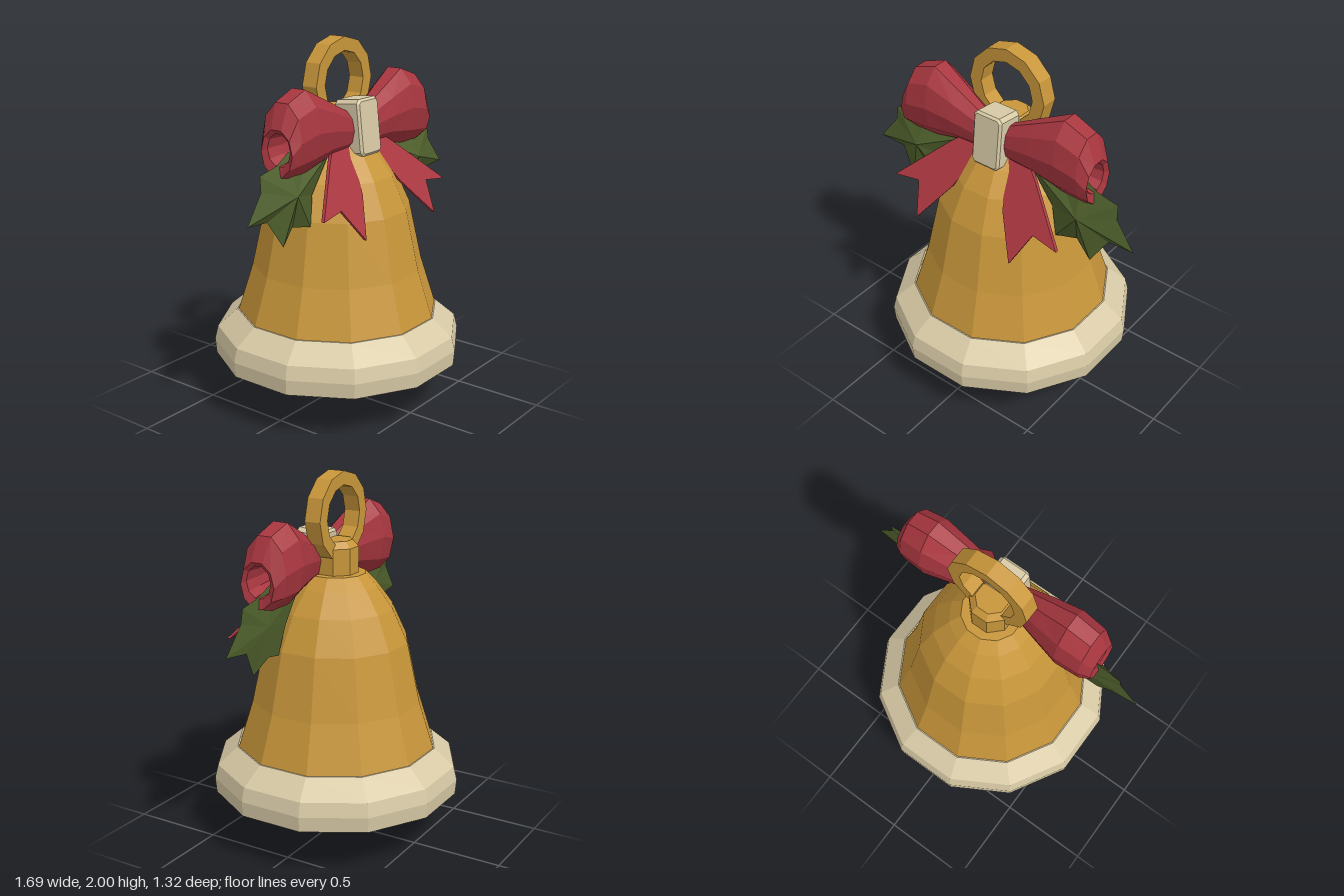
import * as THREE from 'three';

const mat = (name, color) => {
  const m = new THREE.MeshStandardMaterial({ color });
  m.name = name;
  return m;
};

// Unshared vertices give every face its own flat normal
function facet(geo) {
  const g = geo.index ? geo.toNonIndexed() : geo;
  g.computeVertexNormals();
  return g;
}

// Mirror across x = 0 and restore the corner order
function mirrorX(geo) {
  const g = geo.clone();
  const p = g.attributes.position;
  const v = [0, 1, 2].map(() => new THREE.Vector3());
  for (let i = 0; i < p.count; i += 3) {
    v.forEach((w, k) => w.fromBufferAttribute(p, i + k));
    [v[0], v[2], v[1]].forEach((w, k) => p.setXYZ(i + k, -w.x, w.y, w.z));
  }
  g.computeVertexNormals();
  return g;
}

function fromTriangles(tris) {
  const g = new THREE.BufferGeometry();
  g.setAttribute('position', new THREE.Float32BufferAttribute(tris.flat(2), 3));
  return facet(g);
}

// Lathe with flats facing front and sides; radii are measured to the flats
function flatLathe(points, sides) {
  const k = 1 / Math.cos(Math.PI / sides);
  const pts = points.map(([r, y]) => new THREE.Vector2(r * k, y));
  return facet(new THREE.LatheGeometry(pts, sides, Math.PI / sides));
}

// Skin over elliptical rings [x, centreY, radiusY, centreZ, radiusZ]
function loft(rings, sides) {
  const at = (i, j) => {
    const [x, cy, ry, cz, rz] = rings[i];
    const a = (j / sides) * Math.PI * 2;
    return [x, cy + ry * Math.sin(a), cz + rz * Math.cos(a)];
  };
  const tris = [];
  for (let i = 0; i < rings.length - 1; i++) {
    for (let j = 0; j < sides; j++) {
      const a = at(i, j), b = at(i + 1, j), c = at(i + 1, j + 1), d = at(i, j + 1);
      tris.push([a, b, c], [a, c, d]);
    }
  }
  return fromTriangles(tris);
}

// Spiky leaf: front and back fans around a raised centre
function leafGeometry() {
  const outline = [
    [0.2, 1.43, 0.1], [0.34, 1.24, 0.1], [0.38, 1.08, 0.12], [0.5, 1.105, 0.1],
    [0.6, 1.03, 0.125], [0.69, 1.175, 0.1], [0.843, 1.19, 0.11], [0.73, 1.335, 0.1],
    [0.725, 1.415, 0.09], [0.6, 1.44, 0.09], [0.5, 1.49, 0.08], [0.38, 1.42, 0.09],
  ];
  const front = [0.53, 1.28, 0.165], back = [0.53, 1.28, 0.07];
  const tris = [];
  outline.forEach((p, i) => {
    const q = outline[(i + 1) % outline.length];
    tris.push([front, p, q], [back, q, p]);
  });
  return fromTriangles(tris);
}

// Notched ribbon tail, sheared so it sweeps forward as it falls
function tailGeometry() {
  const pts = [[0.03, 1.5], [0.09, 1.41], [0.17, 1.235], [0.31, 1.05],
    [0.38, 1.2], [0.535, 1.18], [0.28, 1.41], [0.14, 1.52]];
  const shape = new THREE.Shape(pts.map(([x, y]) => new THREE.Vector2(x, y)));
  const g = new THREE.ExtrudeGeometry(shape, { depth: 0.018, bevelEnabled: false });
  const p = g.attributes.position;
  for (let i = 0; i < p.count; i++) p.setZ(i, p.getZ(i) + 0.09 + 0.7 * (1.5 - p.getY(i)));
  return facet(g);
}

export function createModel() {
  const model = new THREE.Group();
  model.name = 'bell';
  const gold = mat('gold', 0xc8963a);
  const cream = mat('cream', 0xd8caa6);
  const red = mat('red', 0xa8363f);
  const green = mat('green', 0x4f602c);

  const add = (name, geo, material) => {
    const m = new THREE.Mesh(geo, material);
    m.name = name;
    model.add(m);
    return m;
  };
  const addPair = (name, geo, material) => {
    add('left' + name, geo, material);
    add('right' + name, mirrorX(geo), material);
  };

  // Hollow bell: inside wall, lip, outside wall, crown
  add('bellBody', flatLathe([
    [0, 1.42], [0.17, 1.37], [0.26, 1.26], [0.34, 1.09], [0.41, 0.77], [0.48, 0.52], [0.55, 0.28],
    [0.555, 0.255], [0.637, 0.255], [0.625, 0.3], [0.53, 0.51],
    [0.45, 0.77], [0.38, 1.1], [0.3, 1.28], [0.215, 1.4], [0.155, 1.465], [0, 1.465],
  ], 12), gold);

  // Pale band around the rim
  add('rimBand', flatLathe([
    [0.61, 0.262], [0.653, 0.262], [0.66, 0.345], [0.642, 0.42], [0.535, 0.515], [0.5, 0.515],
  ], 12), cream);

  // Neck and hanging ring
  add('neck', flatLathe([[0.11, 1.45], [0.11, 1.605], [0.08, 1.64], [0, 1.64]], 8), gold);
  const section = [[0.163, -0.046], [0.235, -0.046], [0.235, 0.046], [0.163, 0.046], [0.163, -0.046]];
  const ring = new THREE.LatheGeometry(section.map(([r, y]) => new THREE.Vector2(r, y)), 12);
  ring.rotateX(-Math.PI / 2).translate(0, 1.765, 0);
  add('hangingRing', facet(ring), gold);

  // Clapper
  const ball = new THREE.SphereGeometry(0.182, 10, 5).rotateY(Math.PI / 2).translate(0, 0.182, 0);
  add('clapperBall', facet(ball), gold);
  add('clapperRod', facet(new THREE.CylinderGeometry(0.028, 0.028, 1.08, 6).translate(0, 0.88, 0)), gold);

  // Bow loops: outer skin, lip, then the inside of the loop
  addPair('BowLoop', loft([
    [0.04, 1.53, 0.09, 0.11, 0.06], [0.1, 1.535, 0.11, 0.105, 0.075], [0.25, 1.565, 0.155, 0.09, 0.11],
    [0.41, 1.582, 0.218, 0.075, 0.137], [0.545, 1.555, 0.195, 0.08, 0.128],
    [0.6, 1.5, 0.122, 0.09, 0.1], [0.585, 1.515, 0.085, 0.092, 0.073],
    [0.5, 1.52, 0.075, 0.095, 0.062], [0.25, 1.54, 0.08, 0.1, 0.06], [0.08, 1.535, 0.06, 0.11, 0.04],
  ], 10), red);
  addPair('RibbonTail', tailGeometry(), red);
  addPair('Leaf', leafGeometry(), green);

  // Knot: chamfered block leaning back
  const c = 0.02, w = 0.088, h = 0.148, d = 0.08;
  const knotShape = new THREE.Shape([
    [-w + c, -h], [w - c, -h], [w, -h + c], [w, h - c], [w - c, h], [-w + c, h], [-w, h - c], [-w, -h + c],
  ].map(([x, y]) => new THREE.Vector2(x, y)));
  const knotGeo = new THREE.ExtrudeGeometry(knotShape, {
    depth: 2 * d - 0.024, bevelThickness: 0.012, bevelSize: 0.012, bevelOffset: -0.012, bevelSegments: 1,
  }).translate(0, 0, -d + 0.012);
  const knot = add('bowKnot', facet(knotGeo), cream);
  knot.position.set(0, 1.542, 0.135);
  knot.rotation.x = -0.11;

  return model;
}
